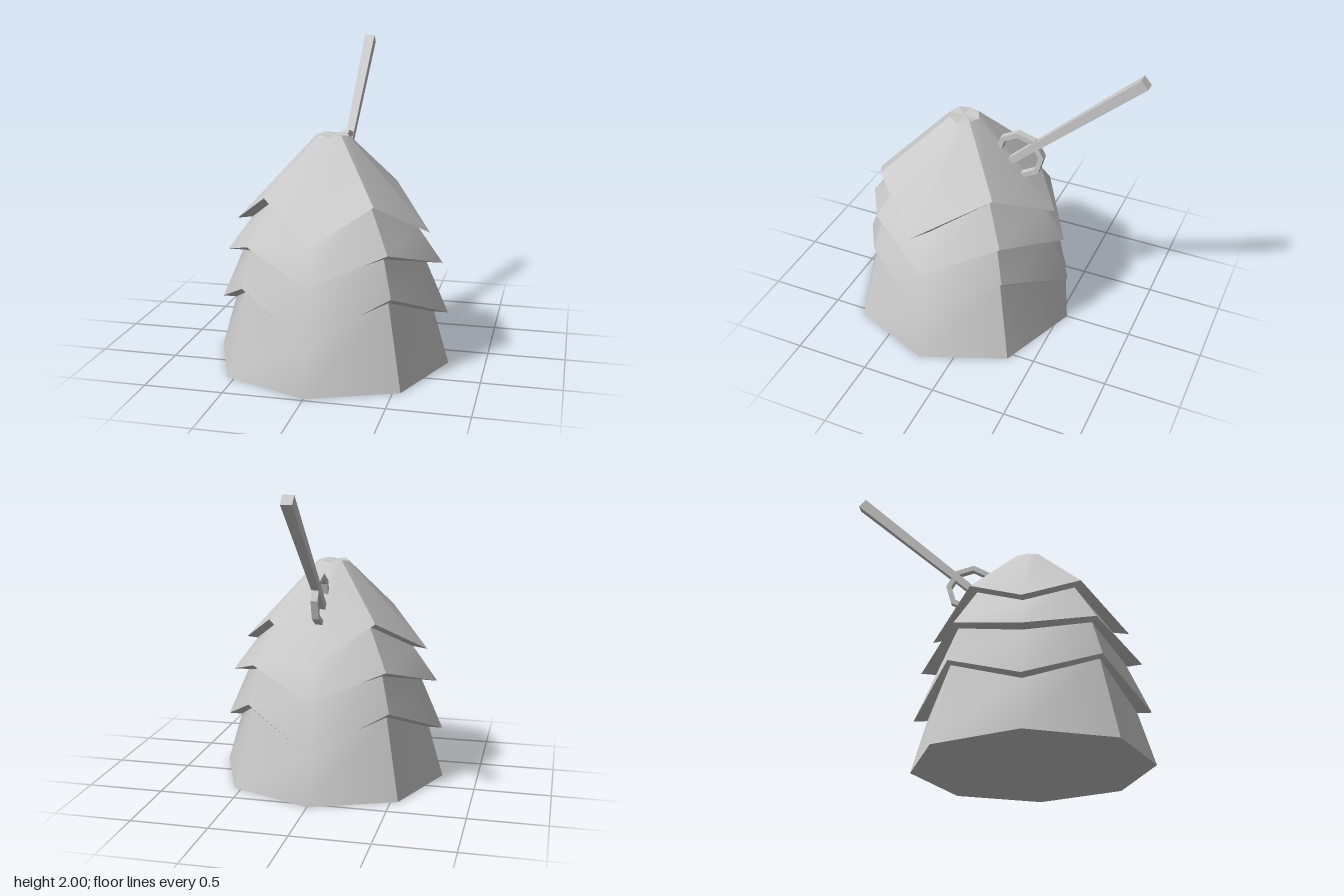
import * as THREE from 'three';

const CENTRE_Z = 0.215;

// Ring of eight corners: four axis corners (radius a, height ya) alternate with
// four diagonal corners (offset d on x and z, height yd). skew drags the left
// and front left corners forward.
function ring(a, ya, d, yd, skew = 0) {
  const points = [];
  for (let i = 0; i < 8; i++) {
    const t = (i * Math.PI) / 4;
    const diagonal = i % 2 === 1;
    const r = diagonal ? d * Math.SQRT2 : a;
    const z = Math.cos(t) * r + (i === 1 || i === 2 ? skew : 0);
    points.push(new THREE.Vector3(Math.sin(t) * r, diagonal ? yd : ya, z));
  }
  return points;
}

// Band between two rings: four panels, each smooth inside and creased at the diagonals
function band(lower, upper, material, name) {
  const positions = [], index = [];
  for (let q = 0; q < 4; q++) {
    const base = q * 6;
    for (const r of [lower, upper]) {
      for (let j = -1; j <= 1; j++) positions.push(...r[(q * 2 + j + 8) % 8].toArray());
    }
    for (let j = 0; j < 2; j++) {
      const a = base + j, b = a + 1, c = a + 4, d = a + 3;
      index.push(a, b, c, a, c, d);
    }
  }
  const geometry = new THREE.BufferGeometry();
  geometry.setAttribute('position', new THREE.Float32BufferAttribute(positions, 3));
  geometry.setIndex(index);
  geometry.computeVertexNormals();
  const mesh = new THREE.Mesh(geometry, material);
  mesh.name = name;
  return mesh;
}

// Flat fan closing a ring
function cap(points, centreY, up, material, name) {
  const positions = [];
  for (let i = 0; i < 8; i++) {
    const p = points[i], q = points[(i + 1) % 8];
    const [s, e] = up ? [p, q] : [q, p];
    positions.push(...s.toArray(), ...e.toArray(), 0, centreY, 0);
  }
  const geometry = new THREE.BufferGeometry();
  geometry.setAttribute('position', new THREE.Float32BufferAttribute(positions, 3));
  geometry.computeVertexNormals();
  const mesh = new THREE.Mesh(geometry, material);
  mesh.name = name;
  return mesh;
}

export function createModel() {
  const model = new THREE.Group();
  model.name = 'tieredBodyWithHandle';
  const grey = new THREE.MeshStandardMaterial({ color: 0xcccccc });
  const flat = new THREE.MeshStandardMaterial({ color: 0xcccccc, flatShading: true });

  // Body: a base and three overhanging skirts, from the ground to the tip
  const body = new THREE.Group();
  body.name = 'body';
  body.position.z = CENTRE_Z;
  const rings = [
    ring(0.765, 0, 0.547, 0),
    ring(0.665, 0.34, 0.45, 0.53),
    ring(0.755, 0.34, 0.468, 0.557),
    ring(0.61, 0.67, 0.412, 0.79),
    ring(0.714, 0.668, 0.44, 0.818),
    ring(0.54, 0.9, 0.31, 1.085),
    ring(0.642, 0.885, 0.352, 1.112, 0.09),
    ring(0.105, 1.46, 0.07, 1.47),
  ];
  const names = ['base', 'lowerSkirtUnderside', 'lowerSkirt', 'middleSkirtUnderside',
    'middleSkirt', 'upperSkirtUnderside', 'upperSkirt'];
  names.forEach((name, i) => body.add(band(rings[i], rings[i + 1], grey, name)));
  body.add(cap(rings[0], 0, false, flat, 'floor'));
  body.add(cap(rings[7], 1.462, true, flat, 'tip'));
  model.add(body);

  // Handle: tapered square bar leaning backwards out of the body
  const start = new THREE.Vector3(0, 1.17, -0.075);
  const end = new THREE.Vector3(0, 1.975, -0.955);
  const axis = end.clone().sub(start);
  const barGeometry = new THREE.BoxGeometry(1, axis.length(), 1);
  const p = barGeometry.attributes.position;
  for (let i = 0; i < p.count; i++) {
    const width = p.getY(i) > 0 ? 0.07 : 0.045;
    p.setX(i, p.getX(i) * width);
    p.setZ(i, p.getZ(i) * width);
  }
  const handle = new THREE.Mesh(barGeometry, flat);
  handle.name = 'handle';
  handle.position.copy(start).add(end).multiplyScalar(0.5);
  handle.rotation.x = Math.atan2(axis.z, axis.y);
  model.add(handle);

  // Guard: eight-sided ring around the foot of the handle, half sunk in the body
  const octagon = (r) => Array.from({ length: 8 }, (_, i) => {
    const t = (i * Math.PI) / 4 + 0.12;
    return new THREE.Vector2(Math.cos(t) * r, Math.sin(t) * r);
  });
  const shape = new THREE.Shape(octagon(0.168));
  shape.holes.push(new THREE.Path(octagon(0.132)));
  const guardGeometry = new THREE.ExtrudeGeometry(shape, { depth: 0.045, bevelEnabled: false });
  guardGeometry.translate(0, 0, -0.0225);
  const guard = new THREE.Mesh(guardGeometry, flat);
  guard.name = 'guardRing';
  guard.rotation.y = Math.PI / 2;
  guard.position.set(0, 1.267, -0.178);
  model.add(guard);

  return model;
}
